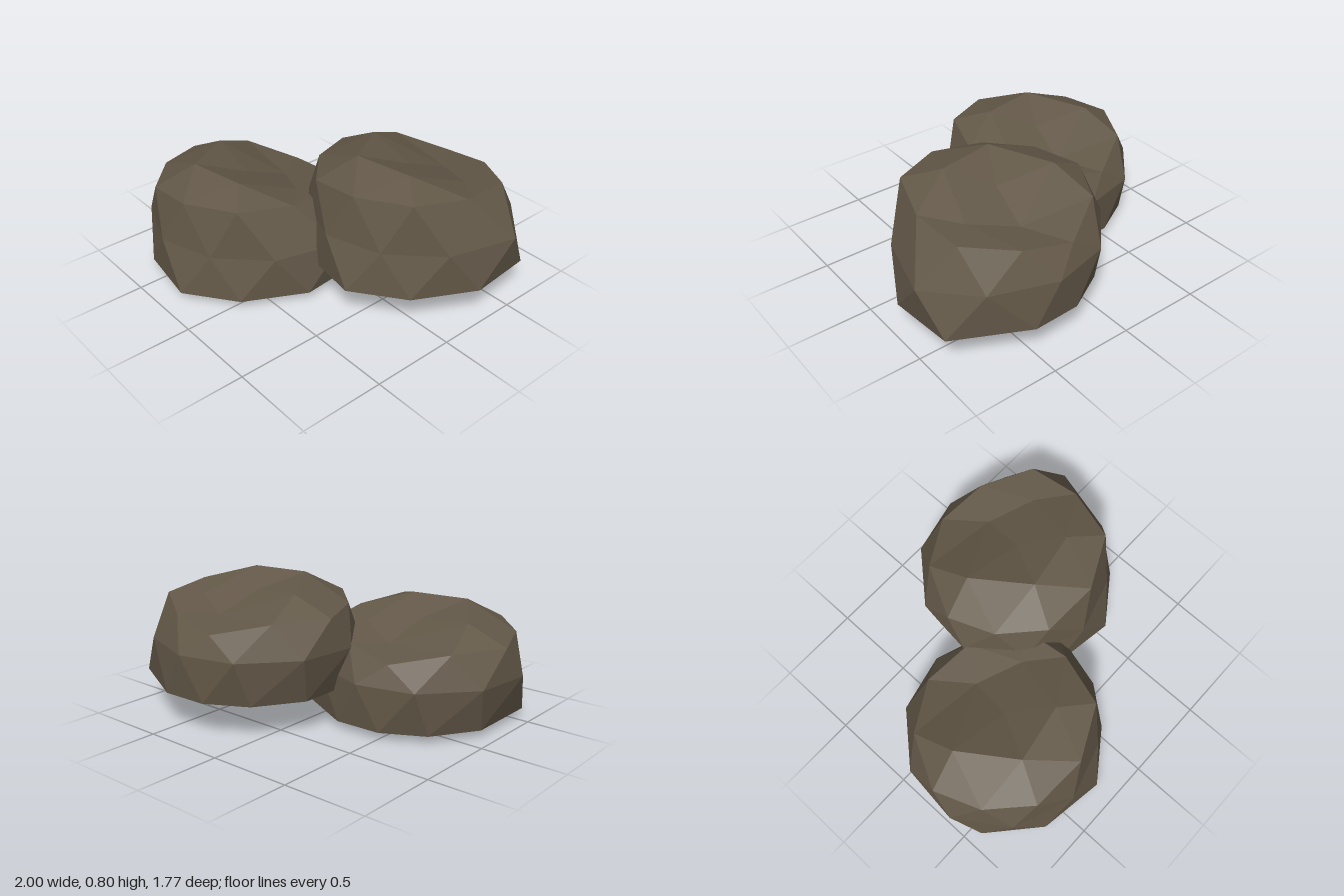
import * as THREE from 'three';

// Rings of a faceted boulder, listed counter-clockwise from above, as [x, y, z].
const N = 10;
const baseRing = [[-0.92, 0.12], [-0.92, 0.57], [-0.64, 0.82], [-0.25, 0.88], [0.04, 0.67],
  [0.225, 0.32], [0.19, -0.07], [-0.23, -0.28], [-0.51, -0.27], [-0.75, -0.14]].map(([x, z]) => [x, 0.045, z]);
const bellyRing = [[-1, 0.41], [-0.8, 0.71], [-0.45, 0.85], [-0.12, 0.75], [0.14, 0.49],
  [0.25, 0.09], [0, -0.17], [-0.37, -0.3], [-0.71, -0.22], [-0.96, 0.06]].map(([x, z]) => [x, 0.3, z]);
const rimRing = [[-0.97, 0.49, 0.27], [-0.87, 0.51, 0.54], [-0.65, 0.52, 0.75], [-0.32, 0.57, 0.77], [-0.02, 0.59, 0.62],
  [0.08, 0.56, 0.31], [0.05, 0.53, 0], [-0.22, 0.48, -0.17], [-0.52, 0.42, -0.21], [-0.81, 0.49, -0.03]];
const crownRing = [[-0.75, 0.6, 0.22], [-0.54, 0.645, 0.54], [-0.2, 0.645, 0.48], [-0.1, 0.52, 0.14], [-0.36, 0.46, 0.02]];
const crownCentre = [-0.4, 0.56, 0.28];
const baseCentre = [-0.38, 0, 0.3];

function boulderGeometry() {
  const pos = [];
  const tri = (a, b, c) => pos.push(...a, ...b, ...c);
  for (let k = 0; k < N; k++) {
    const n = (k + 1) % N, p = (k + N - 1) % N;
    // slightly sagging underside
    tri(baseCentre, baseRing[n], baseRing[k]);
    // staggered bands: base to belly, belly to rim
    tri(baseRing[k], baseRing[n], bellyRing[k]);
    tri(baseRing[k], bellyRing[k], bellyRing[p]);
    tri(bellyRing[p], bellyRing[k], rimRing[k]);
    tri(bellyRing[k], rimRing[n], rimRing[k]);
  }
  // dented top: ten rim points close to five crown points
  for (let i = 0; i < 5; i++) {
    const m = crownRing[i], next = crownRing[(i + 1) % 5];
    const r = rimRing[2 * i], after = rimRing[2 * i + 1], before = rimRing[(2 * i + N - 1) % N];
    tri(before, r, m);
    tri(r, after, m);
    tri(after, next, m);
    tri(crownCentre, m, next);
  }
  const geo = new THREE.BufferGeometry();
  geo.setAttribute('position', new THREE.Float32BufferAttribute(pos, 3));
  geo.computeVertexNormals();
  return geo;
}

export function createModel() {
  const group = new THREE.Group();
  group.name = 'boulders';
  const stone = new THREE.MeshStandardMaterial({ color: 0x635848, flatShading: true });
  const geo = boulderGeometry();

  // two copies of the same stone, the rear one raised
  const places = { frontBoulder: [0, 0, 0], rearBoulder: [0.75, 0.157, -0.59] };
  for (const [name, p] of Object.entries(places)) {
    const mesh = new THREE.Mesh(geo, stone);
    mesh.name = name;
    mesh.position.set(...p);
    group.add(mesh);
  }
  return group;
}
